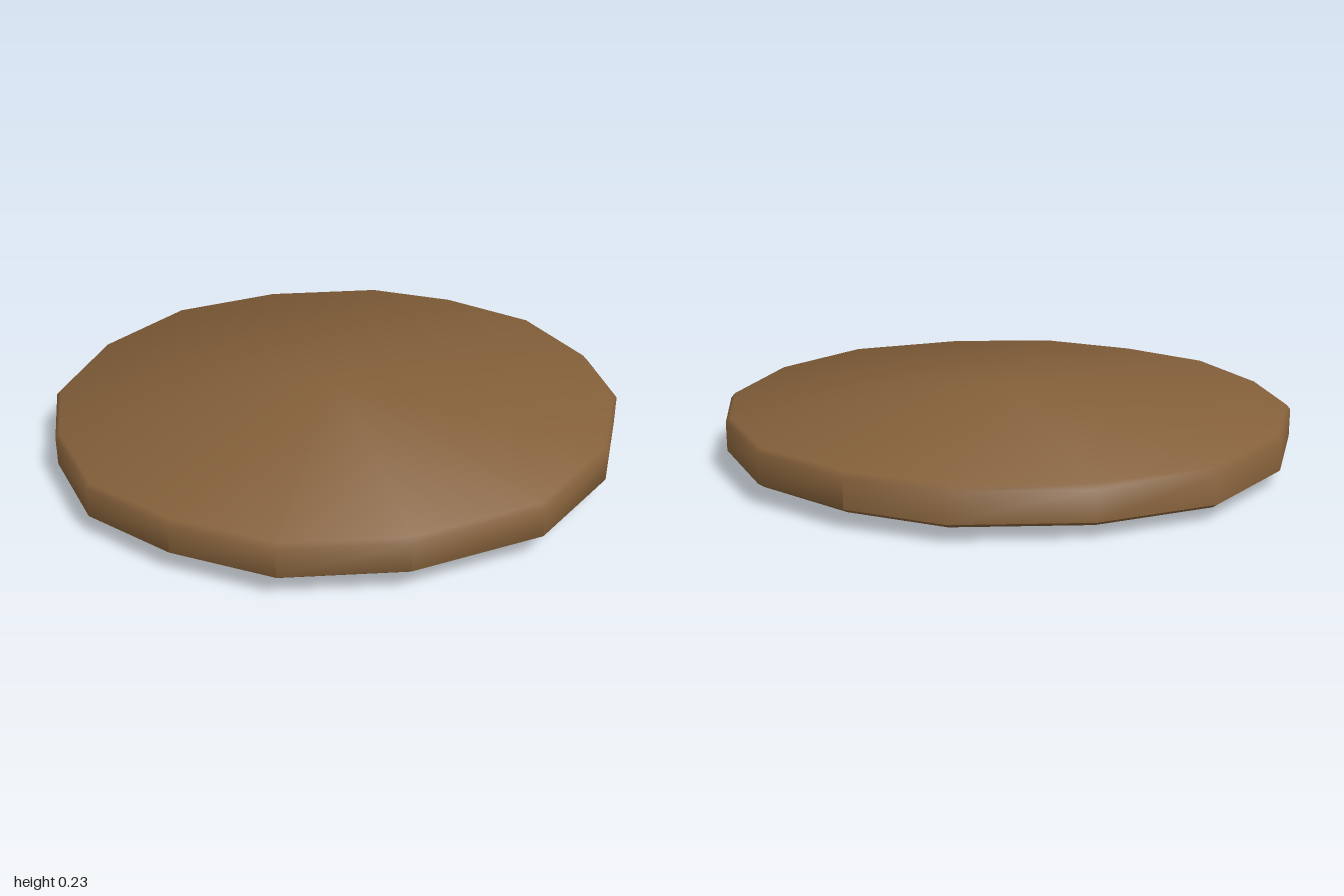
import * as THREE from 'three';
import { toCreasedNormals } from 'three/addons/utils/BufferGeometryUtils.js';

// Slightly uneven sixteen-sided outline, clockwise from the back, as [x, z]
const OUTLINE = [
  [0.01, -1], [0.38, -0.91], [0.66, -0.74], [0.9, -0.4],
  [0.995, 0.01], [0.87, 0.44], [0.635, 0.76], [0.32, 0.92],
  [-0.02, 0.995], [-0.38, 0.9], [-0.67, 0.73], [-0.905, 0.39],
  [-1, -0.02], [-0.89, -0.41], [-0.64, -0.76], [-0.35, -0.92],
];
const N = OUTLINE.length;

// Diamond with its corners on the axes, sampled in step with the outline
function diamond(j) {
  const corners = [[0, -1], [1, 0], [0, 1], [-1, 0]];
  const a = corners[Math.floor(j / 4) % 4];
  const b = corners[(Math.floor(j / 4) + 1) % 4];
  const t = (j % 4) / 4;
  return [a[0] + (b[0] - a[0]) * t, a[1] + (b[1] - a[1]) * t];
}

// Joins the rings, from the top centre round the rim to the bottom centre
function discGeometry(rings, tilt) {
  const positions = [];
  const index = [];
  for (const { size, y, square } of rings) {
    for (let j = 0; j < N; j++) {
      const [x, z] = square ? diamond(j) : OUTLINE[j];
      positions.push(x * size, y + tilt * x * size, z * size);
    }
  }
  for (let i = 0; i < rings.length - 1; i++) {
    for (let j = 0; j < N; j++) {
      const k = (j + 1) % N;
      const a = i * N + j, b = i * N + k;
      const c = a + N, d = b + N;
      if (rings[i + 1].size > 0) index.push(a, d, c);
      if (rings[i].size > 0) index.push(a, b, d);
    }
  }
  const geometry = new THREE.BufferGeometry();
  geometry.setAttribute('position', new THREE.Float32BufferAttribute(positions, 3));
  geometry.setIndex(index);
  return toCreasedNormals(geometry, 0.95);
}

export function createModel() {
  const model = new THREE.Group();
  model.name = 'roundShield';

  const wood = new THREE.MeshStandardMaterial({ color: 0x84603a });
  wood.name = 'brownWood';

  // Low domed board with a bevelled rim and a hand hollow underneath
  const board = new THREE.Mesh(discGeometry([
    { size: 0, y: 0.233 },
    { size: 0.985, y: 0.184 },
    { size: 1, y: 0.168 },
    { size: 1, y: 0.07 },
    { size: 0.98, y: 0.056 },
    { size: 0.21, y: 0.052, square: true },
    { size: 0.17, y: 0.1, square: true },
    { size: 0, y: 0.105 },
  ], 0.016), wood);
  board.name = 'board';
  model.add(board);

  // Grip bar across the hollow, with sloping ends
  const side = new THREE.Shape([
    new THREE.Vector2(-0.35, 0.055),
    new THREE.Vector2(-0.225, 0.01),
    new THREE.Vector2(0.225, 0.01),
    new THREE.Vector2(0.35, 0.055),
  ]);
  const gripGeometry = new THREE.ExtrudeGeometry(side, {
    depth: 0.045, bevelEnabled: true, bevelSize: 0.01, bevelThickness: 0.01, bevelSegments: 2,
  });
  gripGeometry.rotateY(-Math.PI / 2);
  gripGeometry.translate(0.045, 0, 0);
  const grip = new THREE.Mesh(toCreasedNormals(gripGeometry, 0.9), wood);
  grip.name = 'grip';
  model.add(grip);

  return model;
}
